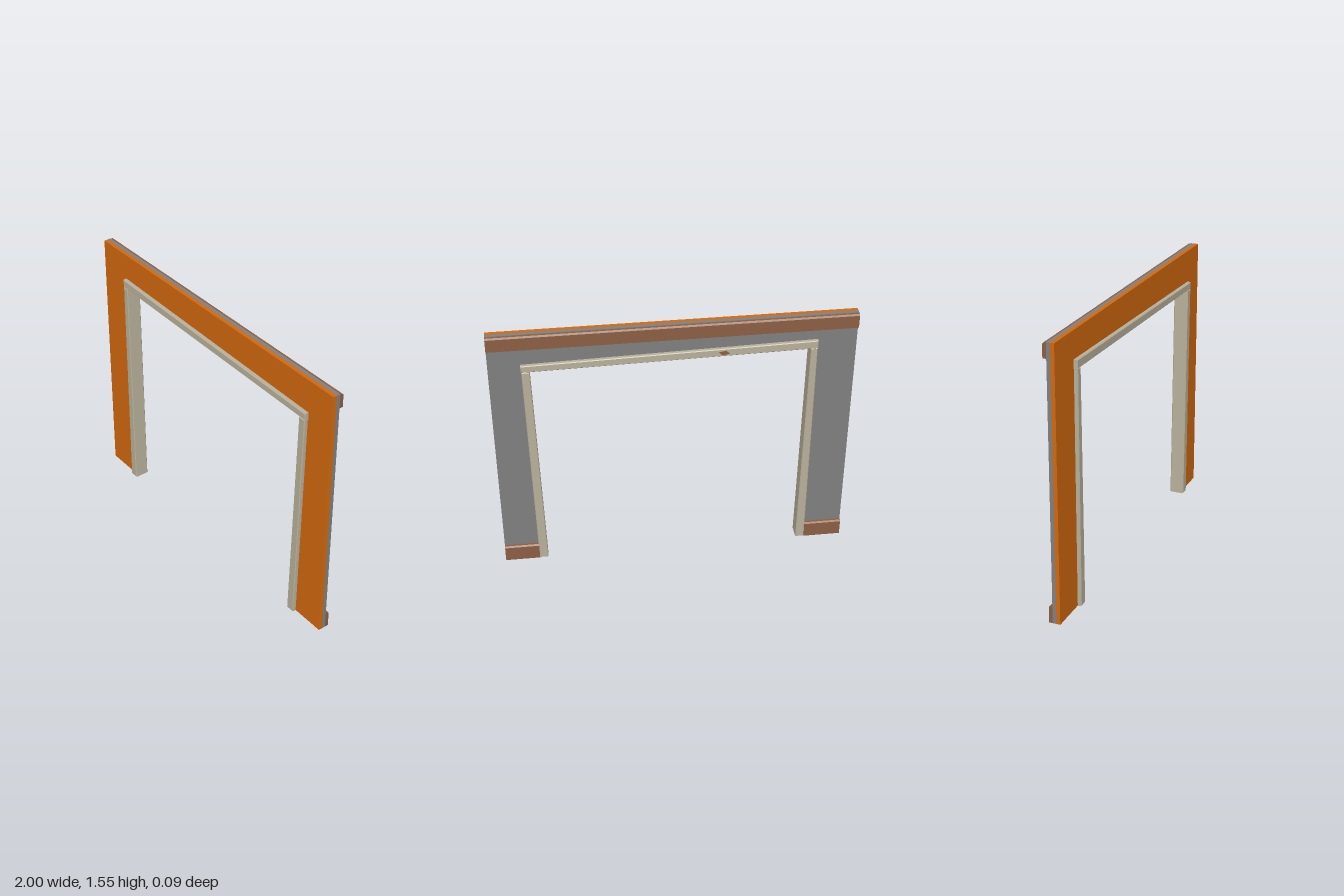
import * as THREE from 'three';

const material = (name, color) => {
  const m = new THREE.MeshStandardMaterial({ color });
  m.name = name;
  return m;
};

// Extrudes an outline in x,y between two z depths, with an optional chamfer
function slab(points, z0, z1, chamfer = 0) {
  const shape = new THREE.Shape(points.map(([x, y]) => new THREE.Vector2(x, y)));
  const geometry = new THREE.ExtrudeGeometry(shape, {
    depth: z1 - z0 - 2 * chamfer,
    bevelEnabled: chamfer > 0,
    bevelThickness: chamfer,
    bevelSize: chamfer,
    bevelOffset: -chamfer,
    bevelSegments: 1,
  });
  return geometry.translate(0, 0, z0 + chamfer);
}

// Board along x with a chamfered top back edge
function backBoard(x0, x1, y0, y1) {
  const zf = -0.022, zb = -0.043, c = 0.008;
  // shape x becomes -z once the extrusion is turned to run along x
  const shape = new THREE.Shape([
    [-zf, y0], [-zb, y0], [-zb, y1 - c], [-zb - c, y1], [-zf, y1],
  ].map(([x, y]) => new THREE.Vector2(x, y)));
  const geometry = new THREE.ExtrudeGeometry(shape, { depth: x1 - x0, bevelEnabled: false });
  return geometry.rotateY(Math.PI / 2).translate(x0, 0, 0);
}

export function createModel() {
  const group = new THREE.Group();
  const orange = material('orange paint', 0xd2690e);
  const grey = material('grey plaster', 0x808080);
  const beige = material('beige timber', 0xb8b09b);
  const brown = material('brown wood', 0x8b5e42);

  const add = (name, geometry, mat) => {
    const mesh = new THREE.Mesh(geometry, mat);
    mesh.name = name;
    group.add(mesh);
    return mesh;
  };

  // Wall around a slightly crooked doorway, in two layers
  const wall = [
    [-1, 0], [-0.78, 0], [-0.78, 1.395], [0.82, 1.36],
    [0.8, 0], [1, 0], [1, 1.555], [-1, 1.555],
  ];
  add('wallFront', slab(wall, 0, 0.022), orange);
  add('wallBack', slab(wall, -0.022, 0), grey);

  // Door frame: tapered, leaning posts and a sloping lintel
  const frame = {
    rightPost: [[-0.783, 0], [-0.732, 0], [-0.746, 1.354], [-0.783, 1.355]],
    leftPost: [[0.75, 0], [0.801, 0], [0.823, 1.325], [0.778, 1.326]],
    lintel: [[-0.785, 1.353], [0.826, 1.325], [0.826, 1.366], [-0.785, 1.402]],
  };
  for (const [name, outline] of Object.entries(frame)) {
    add(name, slab(outline, -0.043, 0.044, 0.004), beige);
  }

  // Wooden boards on the back
  add('topBoard', backBoard(-1, 1, 1.47, 1.553), brown);
  add('rightBaseboard', backBoard(-1, -0.783, 0, 0.1), brown);
  add('leftBaseboard', backBoard(0.8, 1, 0, 0.1), brown);

  // Small bare patch of wood on the back of the lintel
  add('lintelChip', slab([[-0.3, 1.36], [-0.26, 1.352], [-0.24, 1.372], [-0.28, 1.38]], -0.045, -0.04), brown);

  return group;
}
